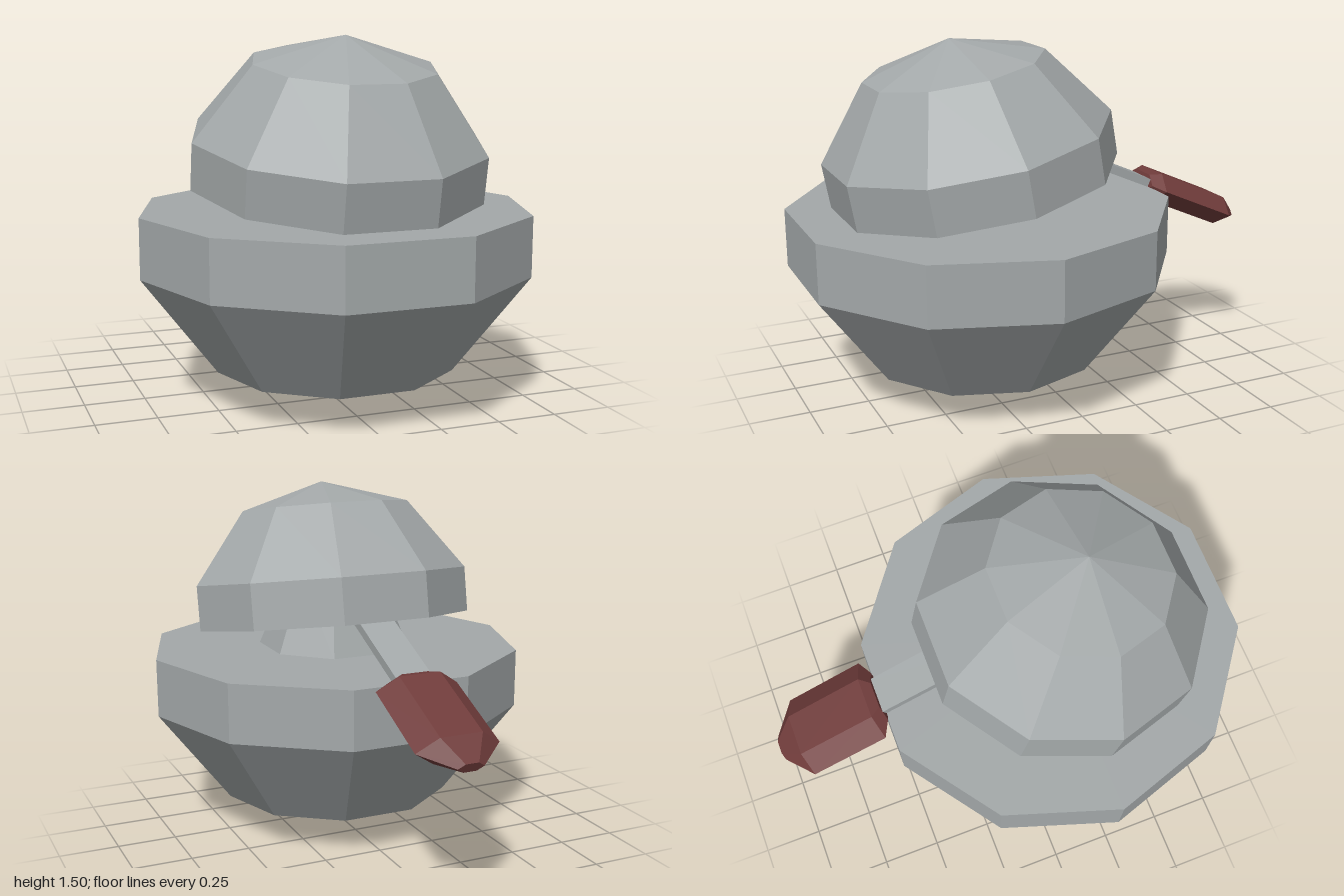
import * as THREE from 'three';

const steel = new THREE.MeshStandardMaterial({ color: 0xa3a8a9, flatShading: true });
steel.name = 'steel grey';
const maroon = new THREE.MeshStandardMaterial({ color: 0x703c3b, flatShading: true });
maroon.name = 'grip maroon';

// Faceted solid of revolution, with flats facing front and back; points run bottom to top.
function faceted(name, points, sides, turn, material) {
  const geometry = new THREE.LatheGeometry(points.map(([r, y]) => new THREE.Vector2(r, y)), sides);
  geometry.rotateY(turn);
  const mesh = new THREE.Mesh(geometry, material);
  mesh.name = name;
  return mesh;
}

export function createModel() {
  const model = new THREE.Group();
  model.name = 'model';

  // Bowl-shaped base with a flat top
  const base = faceted('base',
    [[0, 0], [0.497, 0.155], [0.804, 0.56], [0.804, 0.805], [0, 0.805]], 10, Math.PI / 10, steel);
  base.position.z = 0.235;

  // Tapered octagonal neck between base and dome
  const neck = faceted('neck', [[0, 0.8], [0.326, 0.8], [0.19, 1.12], [0, 1.12]], 8, Math.PI / 8, steel);
  neck.position.z = 0.24;

  // Dome, tipped forward
  const dome = faceted('dome',
    [[0, 0], [0.603, 0], [0.603, 0.19], [0.373, 0.492], [0, 0.604]], 10, Math.PI / 10, steel);
  dome.position.set(0, 0.905, 0.255);
  dome.rotation.x = THREE.MathUtils.degToRad(10);

  // Handle sloping down and back; its local y runs along the rod
  const handle = new THREE.Group();
  handle.name = 'handle';
  handle.position.set(0, 0.907, -0.34);
  handle.rotation.x = -THREE.MathUtils.degToRad(114);

  const rod = new THREE.Mesh(new THREE.BoxGeometry(0.154, 0.74, 0.036), steel);
  rod.name = 'handleRod';
  rod.position.y = -0.13;

  // Flattened hexagonal grip
  const grip = faceted('grip',
    [[0, 0.212], [0.11, 0.212], [0.175, 0.25], [0.175, 0.608], [0.055, 0.716], [0, 0.716]],
    6, Math.PI / 6, maroon);
  grip.scale.z = 0.416;
  grip.position.z = -0.006;
  handle.add(rod, grip);

  model.add(base, neck, dome, handle);
  return model;
}
